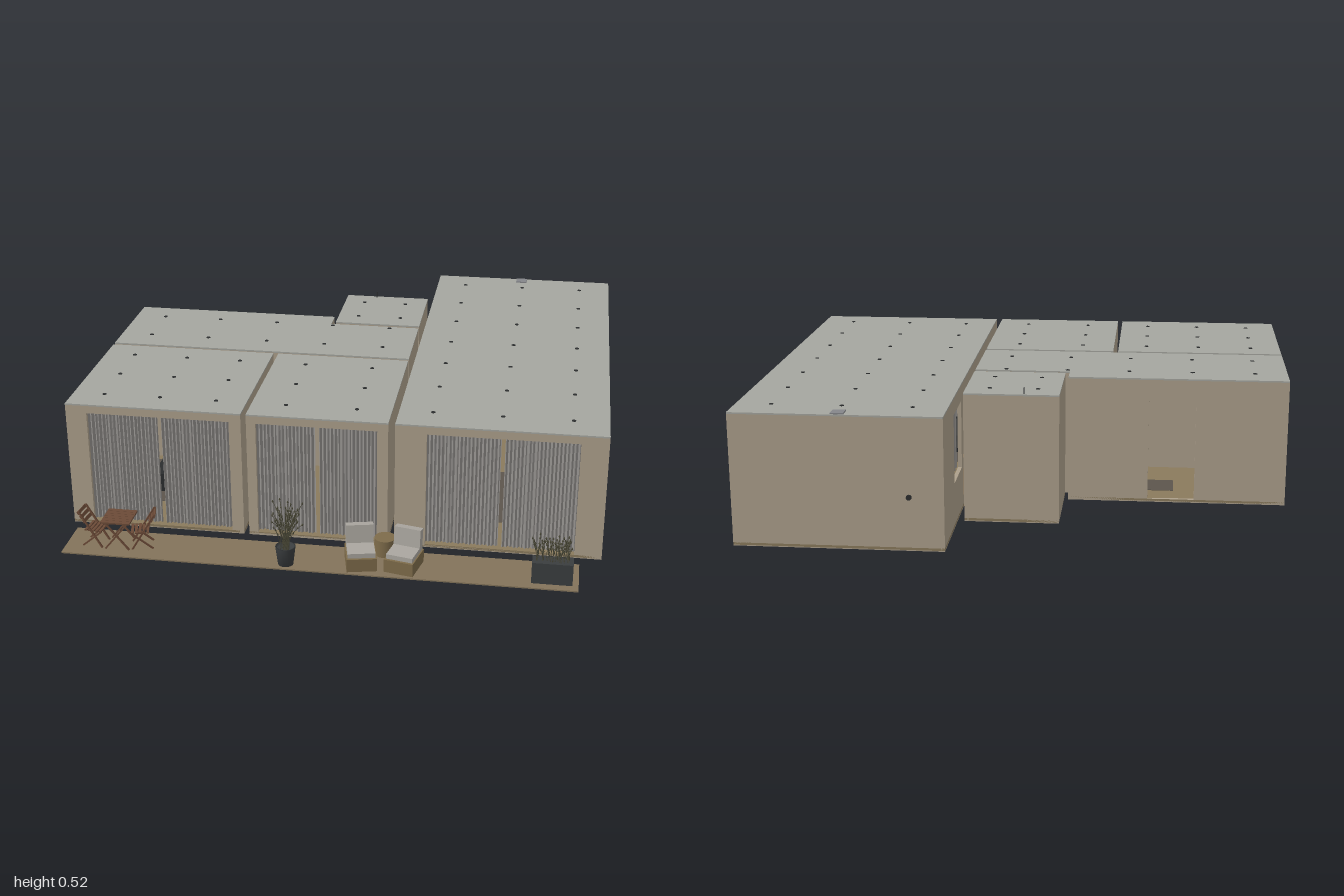
import * as THREE from 'three';

const mat = (color, extra = {}) => Object.assign(new THREE.MeshStandardMaterial({ color }), extra);
const M = {
  wall: mat(0xac9f8b), roof: mat(0xa5a69f), floor: mat(0x8a7a5c), deck: mat(0x83735a),
  curtain: mat(0x94918e, { side: THREE.DoubleSide, flatShading: true }),
  dark: mat(0x2b2d2e), pot: mat(0x3a3d3f), wood: mat(0x6b4a37), base: mat(0x7d6b4a),
  cushion: mat(0xaaa69f), leaf: mat(0x4c4a38), rug: mat(0x5c554c), tan: mat(0xb59a78), grey: mat(0x85868a),
};
const H = 0.495, T = 0.015;

let seed = 7;
const rand = () => (seed = (seed * 16807) % 2147483647) / 2147483647;

function add(parent, name, geo, material, x = 0, y = 0, z = 0) {
  const m = new THREE.Mesh(geo, material);
  m.name = name;
  m.position.set(x, y, z);
  parent.add(m);
  return m;
}
function group(parent, name, x = 0, y = 0, z = 0, ry = 0) {
  const g = new THREE.Group();
  g.name = name;
  g.position.set(x, y, z);
  g.rotation.y = ry;
  parent.add(g);
  return g;
}
// Box given by its two extreme corners
const block = (p, name, m, x0, x1, y0, y1, z0, z1) =>
  add(p, name, new THREE.BoxGeometry(x1 - x0, y1 - y0, z1 - z0), m, (x0 + x1) / 2, (y0 + y1) / 2, (z0 + z1) / 2);
// Square bar between two points
function bar(p, name, m, a, b, t) {
  const A = new THREE.Vector3(...a), B = new THREE.Vector3(...b);
  const mesh = add(p, name, new THREE.BoxGeometry(t, A.distanceTo(B), t), m);
  mesh.position.lerpVectors(A, B, 0.5);
  mesh.quaternion.setFromUnitVectors(new THREE.Vector3(0, 1, 0), B.sub(A).normalize());
}

// Folded curtain hanging between u0 and u1
function curtain(p, u0, u1, y0, y1) {
  const w = u1 - u0, n = Math.max(8, Math.round(w / 0.0035));
  const g = new THREE.PlaneGeometry(w, y1 - y0, n, 1), pos = g.attributes.position;
  for (let i = 0; i < pos.count; i++) {
    const k = i % (n + 1);
    pos.setZ(i, 0.005 * Math.sin(k * 1.6) + 0.003 * Math.sin(k * 0.57));
  }
  add(p, 'curtain', g, M.curtain, (u0 + u1) / 2, (y0 + y1) / 2, -T - 0.01);
}

// Horizontal slab from a plan outline, its top at y
function slab(p, name, pts, y, h, m) {
  const s = new THREE.Shape(pts.map(([x, z]) => new THREE.Vector2(x, z)));
  add(p, name, new THREE.ExtrudeGeometry(s, { depth: h, bevelEnabled: false }).rotateX(Math.PI / 2), m, 0, y, 0);
}

// Room: outline runs front, right, back, left; openings are [edge, u0, u1, y0, y1, curtained]
function room(parent, name, pts, openings, lampX, lampZ) {
  const g = group(parent, name);
  slab(g, 'floor', pts, 0.012, 0.009, M.floor);
  slab(g, 'roof', pts, H, 0.006, M.roof);
  pts.forEach(([x, z], e) => {
    const [bx, bz] = pts[(e + 1) % pts.length], len = Math.hypot(bx - x, bz - z);
    const w = group(g, 'wall', x, 0, z, Math.atan2(z - bz, bx - x));
    const rect = (K, a, b, c, d) => new K([[a, c], [b, c], [b, d], [a, d]].map(q => new THREE.Vector2(...q)));
    const s = rect(THREE.Shape, 0, len, 0, H - 0.006);
    for (const [k, a, b, c, d, hung] of openings) {
      if (k !== e) continue;
      s.holes.push(rect(THREE.Path, a, b, c, d));
      const mid = (a + b) / 2;
      if (hung) {
        curtain(w, a - 0.005, mid - 0.007, c, d + 0.01);
        curtain(w, mid + 0.007, b + 0.005, c, d + 0.01);
      }
    }
    add(w, 'wallPanel', new THREE.ExtrudeGeometry(s, { depth: T, bevelEnabled: false }), M.wall, 0, 0, -T);
  });
  // Recessed lamps passing through the roof
  for (const x of lampX) for (const z of lampZ)
    add(g, 'ceilingLamp', new THREE.CylinderGeometry(0.008, 0.008, 0.018, 12), M.dark, x, H - 0.007, z);
}
const rectPts = (x0, x1, z0, z1) => [[x0, z1], [x1, z1], [x1, z0], [x0, z0]];

// Folding slatted chair facing local +x
function foldingChair(parent, x, z, ry) {
  const g = group(parent, 'foldingChair', x, 0.005, z, ry);
  for (const s of [-0.032, 0.032]) {
    bar(g, 'backLeg', M.wood, [-0.052, 0.138, s], [0.035, 0, s], 0.006);
    bar(g, 'frontLeg', M.wood, [0.035, 0.066, s], [-0.042, 0, s], 0.006);
  }
  for (let i = 0; i < 5; i++) block(g, 'seatSlat', M.wood, -0.03 + i * 0.014, -0.02 + i * 0.014, 0.066, 0.071, -0.037, 0.037);
  for (let i = 0; i < 3; i++) {
    const m = block(g, 'backSlat', M.wood, -0.002, 0.002, -0.006, 0.006, -0.036, 0.036);
    m.position.set(-0.033 - i * 0.01, 0.1 + i * 0.016, 0);
    m.rotation.z = 0.56;
  }
}

// Low lounge chair facing local +z
function loungeChair(parent, x, z, ry) {
  const g = group(parent, 'loungeChair', x, 0.005, z, ry);
  block(g, 'woodBase', M.base, -0.055, 0.055, 0, 0.05, -0.06, 0.065);
  block(g, 'seatCushion', M.cushion, -0.05, 0.05, 0.05, 0.068, -0.06, 0.055);
  const b = block(g, 'backCushion', M.cushion, -0.05, 0.05, 0.062, 0.135, -0.06, -0.03);
  b.rotation.x = -0.12;
}

// Bending stems with small leaves
function stems(parent, count, w, d, y, height, spread) {
  for (let i = 0; i < count; i++) {
    const x = (rand() - 0.5) * w, z = (rand() - 0.5) * d, a = rand() * Math.PI * 2;
    const h = height * (0.55 + 0.45 * rand()), r = spread * (0.3 + 0.7 * rand());
    const c = new THREE.QuadraticBezierCurve3(new THREE.Vector3(x, y, z),
      new THREE.Vector3(x + Math.cos(a) * r * 0.2, y + h * 0.65, z + Math.sin(a) * r * 0.2),
      new THREE.Vector3(x + Math.cos(a) * r, y + h, z + Math.sin(a) * r));
    add(parent, 'stem', new THREE.TubeGeometry(c, 5, 0.0012, 3), M.leaf);
    for (const t of [0.55, 0.8, 1]) {
      const q = c.getPoint(t);
      add(parent, 'leaf', new THREE.OctahedronGeometry(0.0035), M.leaf, q.x, q.y, q.z).scale.y = 1.8;
    }
  }
}

export function createModel() {
  const root = new THREE.Group();
  root.name = 'house';

  // Rooms
  room(root, 'livingRoom', rectPts(0.235, 1, -0.98, 0.69), [
    [0, 0.115, 0.665, 0.008, 0.46, true], [1, 0.55, 0.775, 0.17, 0.43, true],
    [1, 1.145, 1.37, 0.17, 0.43, true], [3, 0.26, 0.46, 0.17, 0.43, true],
  ], [0.36, 0.615, 0.87], [-0.86, -0.62, -0.385, -0.145, 0.09, 0.33, 0.57]);
  room(root, 'leftBedroom', rectPts(-1, -0.335, 0.085, 0.69), [[0, 0.08, 0.62, 0.008, 0.46, true]],
    [-0.88, -0.665, -0.45], [0.185, 0.385, 0.585]);
  room(root, 'middleBedroom', rectPts(-0.315, 0.21, 0.085, 0.69), [[0, 0.035, 0.485, 0.008, 0.46, true]],
    [-0.185, 0.08], [0.185, 0.385, 0.585]);
  room(root, 'hall', [[-1, 0.065], [0.21, 0.065], [0.21, -0.28], [-0.16, -0.28], [-0.16, -0.365], [-1, -0.365]],
    [[4, 0.31, 0.49, 0.012, 0.43, false]], [-0.875, -0.635, -0.39, -0.15, 0.09], [-0.26, -0.045]);
  room(root, 'bathroom', rectPts(-0.145, 0.21, -0.65, -0.305), [], [-0.06, 0.12], [-0.565, -0.39]);

  // Small exterior fittings
  block(root, 'passage', M.tan, 0.21, 0.235, 0, 0.21, -0.48, -0.39);
  block(root, 'roofVent', M.grey, 0.585, 0.632, H - 0.005, H + 0.005, -0.975, -0.93);
  add(root, 'ventPipe', new THREE.CylinderGeometry(0.002, 0.002, 0.03, 8), M.dark, -0.015, H + 0.01, -0.64);
  add(root, 'outdoorTap', new THREE.CylinderGeometry(0.01, 0.01, 0.012, 12).rotateX(Math.PI / 2), M.dark, 0.36, 0.2, -0.982);
  block(root, 'sideStrip', M.dark, -1.001, -0.99, 0.08, 0.34, -0.19, -0.175);

  // Rugs and furniture standing inside
  const inside = group(root, 'interior');
  for (const [n, m, x0, x1, z0, z1, h] of [
    ['rug', M.rug, 0.26, 0.72, 0.05, 0.48, 0.014], ['rug', M.rug, -0.57, -0.07, -0.26, -0.13, 0.014],
    ['rug', M.rug, -0.82, -0.42, 0.14, 0.5, 0.014], ['kitchenCounter', M.dark, 0.32, 0.85, -0.96, -0.86, 0.16],
    ['kitchenIsland', M.dark, 0.47, 0.87, -0.64, -0.56, 0.16], ['sofa', M.dark, 0.27, 0.42, 0.18, 0.48, 0.09],
    ['mediaUnit', M.dark, 0.92, 0.98, 0.17, 0.43, 0.08], ['bed', M.dark, -0.76, -0.5, 0.18, 0.42, 0.09],
  ]) block(inside, n, m, x0, x1, n === 'rug' ? 0.001 : 0, h, z0, z1);
  for (const x of [0.52, 0.67, 0.84])
    add(inside, 'stool', new THREE.CylinderGeometry(0.035, 0.035, 0.11, 20), M.dark, x, 0.055, -0.73);

  // Terrace
  block(root, 'deck', M.deck, -0.97, 0.92, 0, 0.005, 0.745, 0.935);
  foldingChair(root, -0.86, 0.845, -0.12);
  foldingChair(root, -0.69, 0.838, Math.PI + 0.25);
  const table = group(root, 'foldingTable', -0.77, 0.005, 0.845);
  for (let i = 0; i < 6; i++) block(table, 'topSlat', M.wood, -0.055, 0.055, 0.111, 0.117, -0.055 + i * 0.0185, -0.038 + i * 0.0185);
  for (const z of [-0.042, 0.042]) for (const s of [-1, 1])
    bar(table, 'tableLeg', M.wood, [-0.045 * s, 0.112, z], [0.045 * s, 0.002, z], 0.006);
  loungeChair(root, 0.133, 0.85, 0.22);
  loungeChair(root, 0.292, 0.85, -0.22);
  add(root, 'sideTable', new THREE.CylinderGeometry(0.04, 0.04, 0.066, 32), M.base, 0.212, 0.038, 0.765);

  // Plants
  const pot = group(root, 'pottedPlant', -0.135, 0.005, 0.895);
  const profile = [[0, 0], [0.028, 0], [0.037, 0.072], [0.032, 0.072], [0.031, 0.062], [0, 0.062]];
  add(pot, 'pot', new THREE.LatheGeometry(profile.map(q => new THREE.Vector2(...q)), 24), M.pot);
  stems(pot, 34, 0.03, 0.03, 0.06, 0.185, 0.065);
  const planter = group(root, 'planter', 0.825, 0.005, 0.875);
  block(planter, 'planterBox', M.pot, -0.073, 0.073, 0, 0.082, -0.028, 0.028);
  stems(planter, 40, 0.12, 0.035, 0.08, 0.095, 0.025);

  return root;
}
